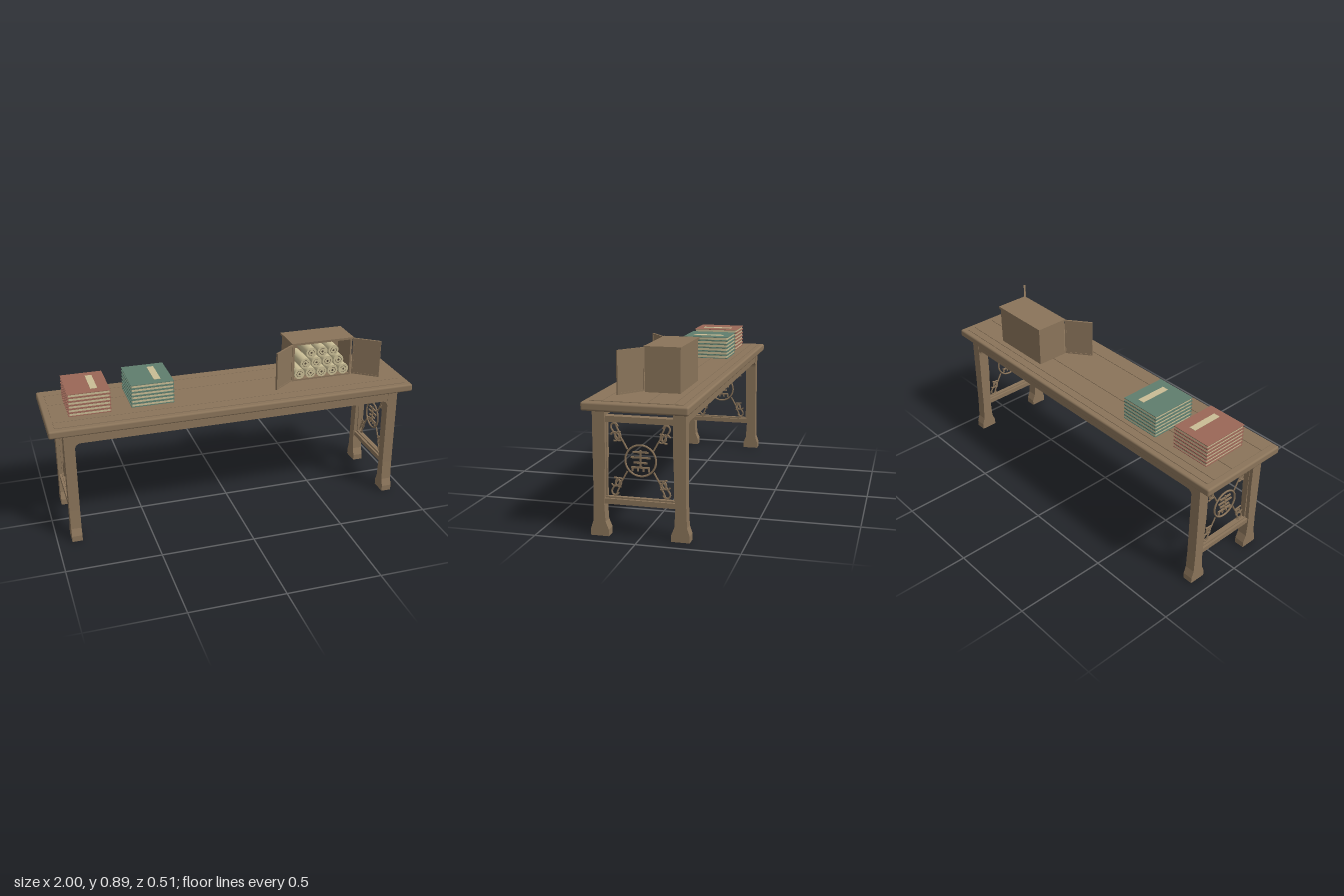
import * as THREE from 'three';
import { RoundedBoxGeometry } from 'three/addons/geometries/RoundedBoxGeometry.js';

const wood = new THREE.MeshStandardMaterial({ color: 0x8a745a });
wood.name = 'wood';
const paper = new THREE.MeshStandardMaterial({ color: 0xc9bd95 });
paper.name = 'paper';
const red = new THREE.MeshStandardMaterial({ color: 0x9a6757 });
red.name = 'redCover';
const teal = new THREE.MeshStandardMaterial({ color: 0x5f7d6d });
teal.name = 'tealCover';
const ink = new THREE.MeshStandardMaterial({ color: 0x55483a });
ink.name = 'darkWood';

function add(parent, name, geometry, material, x = 0, y = 0, z = 0) {
  const mesh = new THREE.Mesh(geometry, material);
  mesh.name = name;
  mesh.position.set(x, y, z);
  parent.add(mesh);
  return mesh;
}

// Box given by its minimum and maximum on each axis
function block(parent, name, material, x0, x1, y0, y1, z0, z1) {
  return add(parent, name, new THREE.BoxGeometry(x1 - x0, y1 - y0, z1 - z0), material,
    (x0 + x1) / 2, (y0 + y1) / 2, (z0 + z1) / 2);
}

function extrude(points, depth) {
  const shape = new THREE.Shape(points.map(([x, y]) => new THREE.Vector2(x, y)));
  return new THREE.ExtrudeGeometry(shape, { depth, bevelEnabled: false }).translate(0, 0, -depth / 2);
}

function tube(parent, name, points, closed = false, radius = 0.0045) {
  const curve = new THREE.CatmullRomCurve3(points.map(([x, y]) => new THREE.Vector3(x, y, 0)), closed);
  return add(parent, name, new THREE.TubeGeometry(curve, 24, radius, 6, closed), wood);
}

// Curled and straight rods for one corner, measured from the panel centre
function cornerScroll() {
  const g = new THREE.Group();
  g.name = 'cornerScroll';
  tube(g, 'spoke', [[0.064, 0.052], [0.085, 0.09], [0.1, 0.115]]);
  tube(g, 'leafLoop', [[0.135, 0.173], [0.143, 0.155], [0.128, 0.128], [0.11, 0.1],
    [0.096, 0.112], [0.112, 0.15], [0.122, 0.172]], true);
  const arc = (x, y, r, start, sweep) => {
    const m = add(g, 'curl', new THREE.TorusGeometry(r, 0.0045, 6, 18, sweep), wood, x, y);
    m.rotation.z = start;
  };
  arc(0.125, 0.11, 0.021, 0.4, 4.6);
  arc(0.103, 0.112, 0.021, -2.4, 4.4);
  arc(0.126, 0.157, 0.017, -0.6, 3.6);
  return g;
}

// Pair of legs with rails and openwork; local x runs along the table's depth
function endFrame() {
  const g = new THREE.Group();
  g.name = 'endFrame';
  const profile = [[0.153, 0], [0.243, 0], [0.243, 0.032], [0.23, 0.072], [0.226, 0.18],
    [0.226, 0.62], [0.165, 0.62], [0.165, 0.4], [0.174, 0.16], [0.169, 0.072], [0.153, 0.032]];
  for (const s of [-1, 1]) {
    const pts = profile.map(([x, y]) => [s * x, y]);
    add(g, 'leg', extrude(pts, 0.055), wood);
    block(g, 'panelSideStrip', wood, s * 0.166 - 0.004, s * 0.166 + 0.004, 0.195, 0.56, -0.008, 0.008);
  }
  block(g, 'upperRail', wood, -0.17, 0.17, 0.557, 0.586, -0.02, 0.02);
  block(g, 'lowerRail', wood, -0.176, 0.176, 0.16, 0.186, -0.022, 0.022);
  block(g, 'panelBottomStrip', wood, -0.17, 0.17, 0.186, 0.194, -0.01, 0.01);

  // Round medallion filled with plain lattice bars
  const panel = new THREE.Group();
  panel.name = 'openworkPanel';
  panel.position.y = 0.375;
  g.add(panel);
  add(panel, 'medallionRing', new THREE.TorusGeometry(0.075, 0.005, 8, 40), wood);
  for (const [y, half] of [[0.041, 0.038], [0.015, 0.047], [-0.01, 0.033], [-0.033, 0.045]])
    block(panel, 'latticeBar', wood, -half, half, y - 0.004, y + 0.004, -0.004, 0.004);
  block(panel, 'latticePost', wood, -0.004, 0.004, -0.033, 0.052, -0.004, 0.004);
  for (const x of [-0.04, -0.014, 0.014, 0.04])
    block(panel, 'latticePeg', wood, x - 0.004, x + 0.004, -0.052, -0.033, -0.004, 0.004);

  // Corner curls, turned over for the other three corners
  for (const [rx, ry] of [[0, 0], [Math.PI, 0], [0, Math.PI], [Math.PI, Math.PI]]) {
    const scroll = cornerScroll();
    scroll.rotation.set(rx, ry, 0);
    panel.add(scroll);
  }
  return g;
}

// Stack of thin bound books with a title slip on the top one
function bookStack(name, cover, x0, x1, z0, z1, labelX, labelZ) {
  const g = new THREE.Group();
  g.name = name;
  const count = 6, base = 0.67, step = 0.0208;
  for (let i = 0; i < count; i++) {
    const y = base + i * step;
    block(g, 'backCover', cover, x0, x1, y, y + 0.0035, z0, z1);
    block(g, 'pages', paper, x0 + 0.005, x1 - 0.005, y + 0.0035, y + step - 0.0045, z0 + 0.005, z1 - 0.005);
    block(g, 'frontCover', cover, x0, x1, y + step - 0.0045, y + step - 0.001, z0, z1);
  }
  const top = base + count * step - 0.001;
  block(g, 'titleSlip', paper, labelX - 0.018, labelX + 0.018, top, top + 0.002, labelZ - 0.087, labelZ + 0.087);
  return g;
}

// Open cabinet with two swung doors
function cabinet() {
  const g = new THREE.Group();
  g.name = 'scrollCabinet';
  block(g, 'cabinetFloor', wood, 0.375, 0.725, 0.667, 0.676, -0.148, 0.028);
  block(g, 'cabinetBack', wood, 0.375, 0.725, 0.676, 0.88, -0.148, -0.138);
  for (const x of [0.375, 0.715])
    block(g, 'cabinetSide', wood, x, x + 0.01, 0.676, 0.88, -0.138, 0.028);
  block(g, 'cabinetLid', wood, 0.368, 0.732, 0.878, 0.89, -0.153, 0.032);
  for (const s of [-1, 1]) {
    const door = new THREE.Group();
    door.name = 'cabinetDoor';
    door.position.set(0.55 + s * 0.18, 0, 0.03);
    door.rotation.y = s > 0 ? -0.65 : Math.PI + 0.65;
    block(door, 'doorPanel', wood, 0.008, 0.148, 0.682, 0.877, -0.003, 0.003);
    for (const x of [0, 0.148]) block(door, 'doorStile', wood, x, x + 0.008, 0.674, 0.885, -0.005, 0.005);
    for (const y of [0.674, 0.877]) block(door, 'doorRail', wood, 0.008, 0.148, y, y + 0.008, -0.005, 0.005);
    g.add(door);
  }

  // Rolled papers piled in three rows
  [[5, 0.706], [4, 0.765], [3, 0.825]].forEach(([n, y]) => {
    for (let i = 0; i < n; i++) {
      const x = 0.549 + (i - (n - 1) / 2) * 0.0655;
      const roll = new THREE.CylinderGeometry(0.03, 0.03, 0.165, 16).rotateX(Math.PI / 2);
      add(g, 'paperRoll', roll, paper, x, y, -0.054);
      add(g, 'rollSeam', new THREE.RingGeometry(0.016, 0.018, 16, 1, i, 5), ink, x, y, 0.0292);
      add(g, 'rollCore', new THREE.CircleGeometry(0.006, 10), ink, x, y, 0.0292);
    }
  });
  return g;
}

export function createModel() {
  const model = new THREE.Group();
  model.name = 'readingTable';

  // Table top with slightly raised planks
  add(model, 'tableTop', new RoundedBoxGeometry(2, 0.042, 0.512, 3, 0.01), wood, 0, 0.643, 0);
  const seams = [-0.226, -0.18, -0.055, 0.16, 0.226];
  for (let i = 0; i < 4; i++)
    block(model, 'topPlank', wood, -0.964, 0.964, 0.66, 0.667, seams[i] + 0.0015, seams[i + 1] - 0.0015);

  // Long aprons with rounded inner corners
  const apron = new THREE.Shape();
  apron.moveTo(-0.9, 0.623);
  apron.lineTo(-0.9, 0.53);
  apron.lineTo(-0.87, 0.53);
  apron.quadraticCurveTo(-0.87, 0.566, -0.835, 0.566);
  apron.lineTo(0.835, 0.566);
  apron.quadraticCurveTo(0.87, 0.566, 0.87, 0.53);
  apron.lineTo(0.9, 0.53);
  apron.lineTo(0.9, 0.623);
  const apronGeometry = new THREE.ExtrudeGeometry(apron, { depth: 0.03, bevelEnabled: false });
  apronGeometry.translate(0, 0, -0.015);
  for (const s of [-1, 1]) add(model, 'apron', apronGeometry, wood, 0, 0, s * 0.209);

  // End frames
  for (const s of [-1, 1]) {
    const frame = endFrame();
    frame.position.x = s * 0.8975;
    frame.rotation.y = -Math.PI / 2;
    model.add(frame);
  }

  model.add(bookStack('redBooks', red, -0.876, -0.655, -0.14, 0.121, -0.733, -0.008));
  model.add(bookStack('tealBooks', teal, -0.545, -0.316, -0.155, 0.105, -0.395, -0.027));
  model.add(cabinet());
  return model;
}
